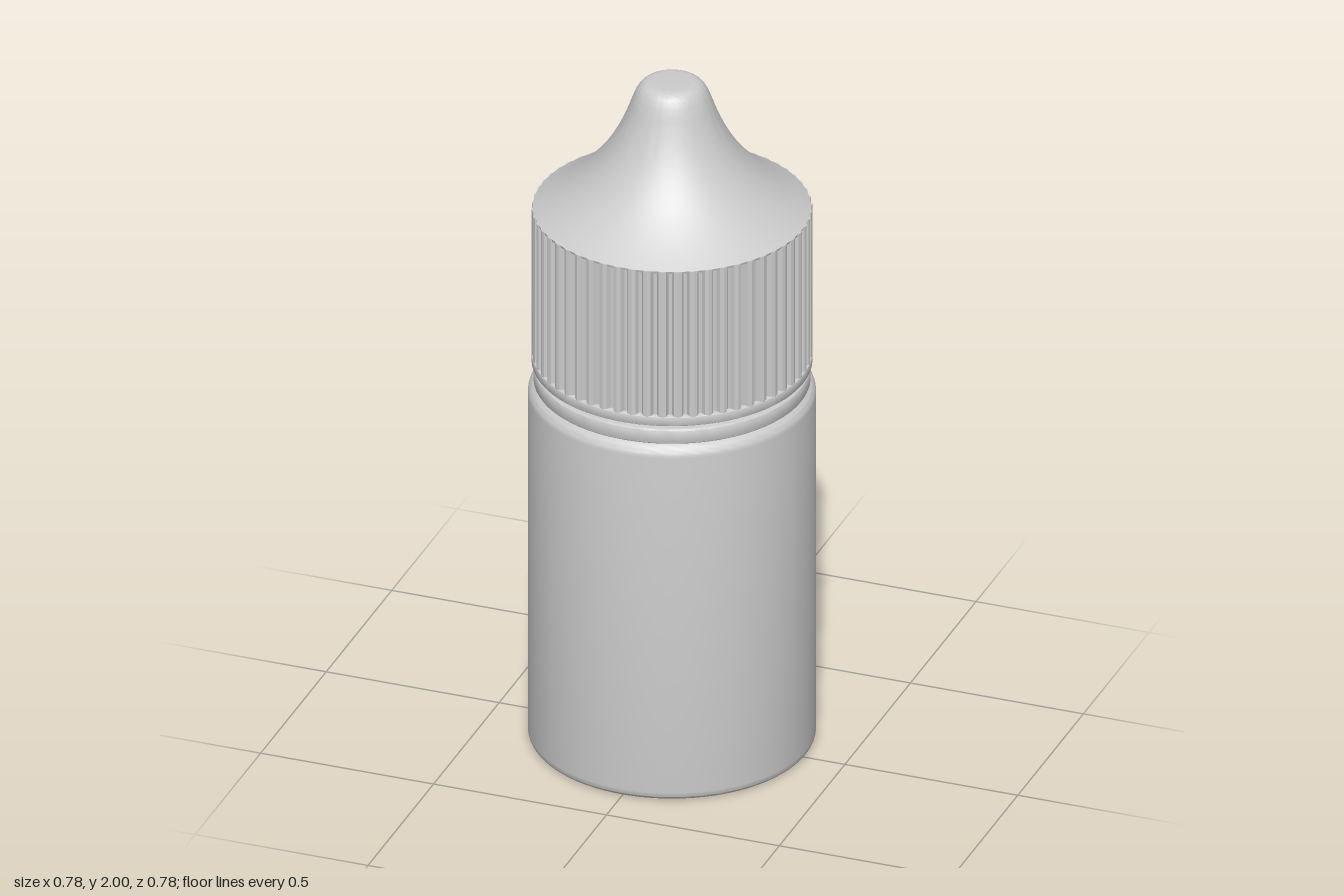
import * as THREE from 'three';
import { toCreasedNormals } from 'three/addons/utils/BufferGeometryUtils.js';

const material = new THREE.MeshStandardMaterial({ color: 0xcccccc });
const SEGMENTS = 96;
const RIBS = 56;

function addPart(group, name, geometry, crease = 0.6) {
  const mesh = new THREE.Mesh(toCreasedNormals(geometry, crease), material);
  mesh.name = name;
  group.add(mesh);
}

// Spins a profile, drawn from bottom to top, around the y axis.
function spin(path, divisions = 6) {
  return new THREE.LatheGeometry(path.getPoints(divisions), SEGMENTS);
}

// Closed ring band with softly rounded outer edges.
function band(inner, outer, bottom, top, round) {
  const p = new THREE.Path();
  p.moveTo(inner, bottom);
  p.lineTo(outer - round, bottom);
  p.quadraticCurveTo(outer, bottom, outer, bottom + round);
  p.lineTo(outer, top - round);
  p.quadraticCurveTo(outer, top, outer - round, top);
  p.lineTo(inner, top);
  return spin(p, 4);
}

// Outline of the grip: raised ribs separated by shallow grooves.
function ribbedOutline(inner, outer) {
  const points = [];
  const step = (Math.PI * 2) / RIBS;
  for (let i = 0; i < RIBS; i++) {
    for (const [t, r] of [[0, inner], [0.22, inner], [0.36, outer - 0.003], [0.61, outer], [0.86, outer - 0.003]]) {
      const a = (i + t) * step;
      points.push(new THREE.Vector2(Math.cos(a) * r, Math.sin(a) * r));
    }
  }
  return new THREE.Shape(points);
}

export function createModel() {
  const group = new THREE.Group();
  group.name = 'dropperBottle';

  // Bottle body with rounded base and shoulder
  const body = new THREE.Path();
  body.moveTo(0, 0);
  body.lineTo(0.365, 0);
  body.quadraticCurveTo(0.39, 0, 0.39, 0.025);
  body.lineTo(0.39, 1.05);
  body.quadraticCurveTo(0.388, 1.08, 0.35, 1.09);
  body.lineTo(0, 1.09);
  addPart(group, 'bottleBody', spin(body, 8));

  // Neck visible in the gaps between the bands
  const neck = new THREE.CylinderGeometry(0.347, 0.347, 0.13, SEGMENTS);
  neck.translate(0, 1.125, 0);
  addPart(group, 'neck', neck);

  // Tamper band and the rim of the cap
  addPart(group, 'tamperBand', band(0.33, 0.375, 1.085, 1.13, 0.009));
  addPart(group, 'capRim', band(0.33, 0.38, 1.143, 1.172, 0.005));

  // Ribbed grip
  const grip = new THREE.ExtrudeGeometry(ribbedOutline(0.364, 0.38), { depth: 0.445, bevelEnabled: false });
  grip.rotateX(-Math.PI / 2);
  grip.translate(0, 1.17, 0);
  addPart(group, 'capGrip', grip, 0.35);

  // Flared cap top, sweeping up to a blunt rounded tip
  const tip = new THREE.Path();
  tip.moveTo(0, 1.608);
  tip.lineTo(0.374, 1.608);
  tip.lineTo(0.376, 1.615);
  tip.bezierCurveTo(0.235, 1.7, 0.165, 1.79, 0.117, 1.92);
  tip.bezierCurveTo(0.1, 1.968, 0.09, 2, 0.055, 2);
  tip.lineTo(0, 2);
  addPart(group, 'capTip', spin(tip, 16));

  return group;
}
